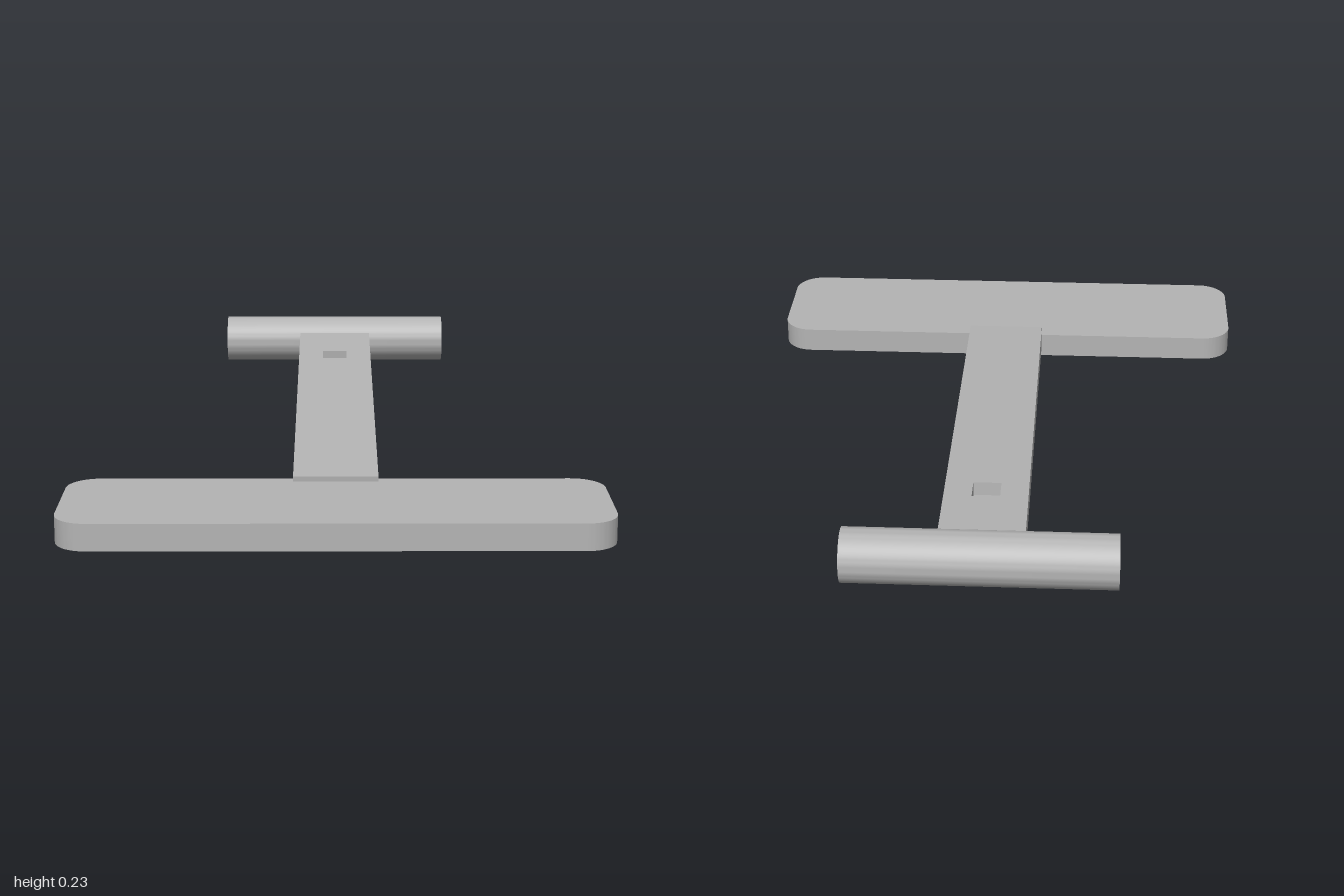
import * as THREE from 'three';
import { toCreasedNormals } from 'three/addons/utils/BufferGeometryUtils.js';

const grey = new THREE.MeshStandardMaterial({ color: 0xb4b4b4 });
grey.name = 'grey';

function extrude(shape, depth, curveSegments = 12) {
  const geometry = new THREE.ExtrudeGeometry(shape, { depth, bevelEnabled: false, curveSegments });
  return toCreasedNormals(geometry, 0.6);
}

function addPart(parent, name, geometry) {
  const mesh = new THREE.Mesh(geometry, grey);
  mesh.name = name;
  parent.add(mesh);
  return mesh;
}

function roundedRect(x0, y0, x1, y1, r) {
  const s = new THREE.Shape();
  s.absarc(x1 - r, y0 + r, r, -Math.PI / 2, 0);
  s.absarc(x1 - r, y1 - r, r, 0, Math.PI / 2);
  s.absarc(x0 + r, y1 - r, r, Math.PI / 2, Math.PI);
  s.absarc(x0 + r, y0 + r, r, Math.PI, Math.PI * 1.5);
  s.closePath();
  return s;
}

function rectPoints(x0, y0, x1, y1) {
  return [[x0, y0], [x1, y0], [x1, y1], [x0, y1]].map(([x, y]) => new THREE.Vector2(x, y));
}

export function createModel() {
  const model = new THREE.Group();
  model.name = 'model';

  // Flat foot plate with rounded corners
  const plate = extrude(roundedRect(-0.75, -1, 0.75, -0.58, 0.09), 0.076);
  plate.rotateX(-Math.PI / 2);
  addPart(model, 'footPlate', plate);

  // Sloping arm: the upper layer has a square opening, the lower layer is its floor
  const arm = new THREE.Group();
  arm.name = 'arm';
  arm.position.set(0, 0.09, 0.61);
  arm.rotation.x = Math.atan(0.065);
  model.add(arm);

  const halfWidth = 0.12, length = 1.48, thickness = 0.075, pocketDepth = 0.04;
  const outline = new THREE.Shape(rectPoints(-halfWidth, 0, halfWidth, length));
  const floor = extrude(outline.clone(), thickness - pocketDepth);
  floor.rotateX(-Math.PI / 2).translate(0, -thickness, 0);
  addPart(arm, 'armLower', floor);

  outline.holes.push(new THREE.Path(rectPoints(-0.04, 1.162, 0.04, 1.247).reverse()));
  const upper = extrude(outline, pocketDepth);
  upper.rotateX(-Math.PI / 2).translate(0, -pocketDepth, 0);
  addPart(arm, 'armUpper', upper);

  // Hollow cross tube at the raised end
  const ring = new THREE.Shape().absarc(0, 0, 0.076, 0, Math.PI * 2);
  ring.holes.push(new THREE.Path().absarc(0, 0, 0.033, 0, Math.PI * 2, true));
  const tube = extrude(ring, 0.75, 32);
  tube.translate(0, 0, -0.375).rotateY(Math.PI / 2);
  addPart(model, 'crossTube', tube).position.set(0, 0.152, -0.924);

  return model;
}
